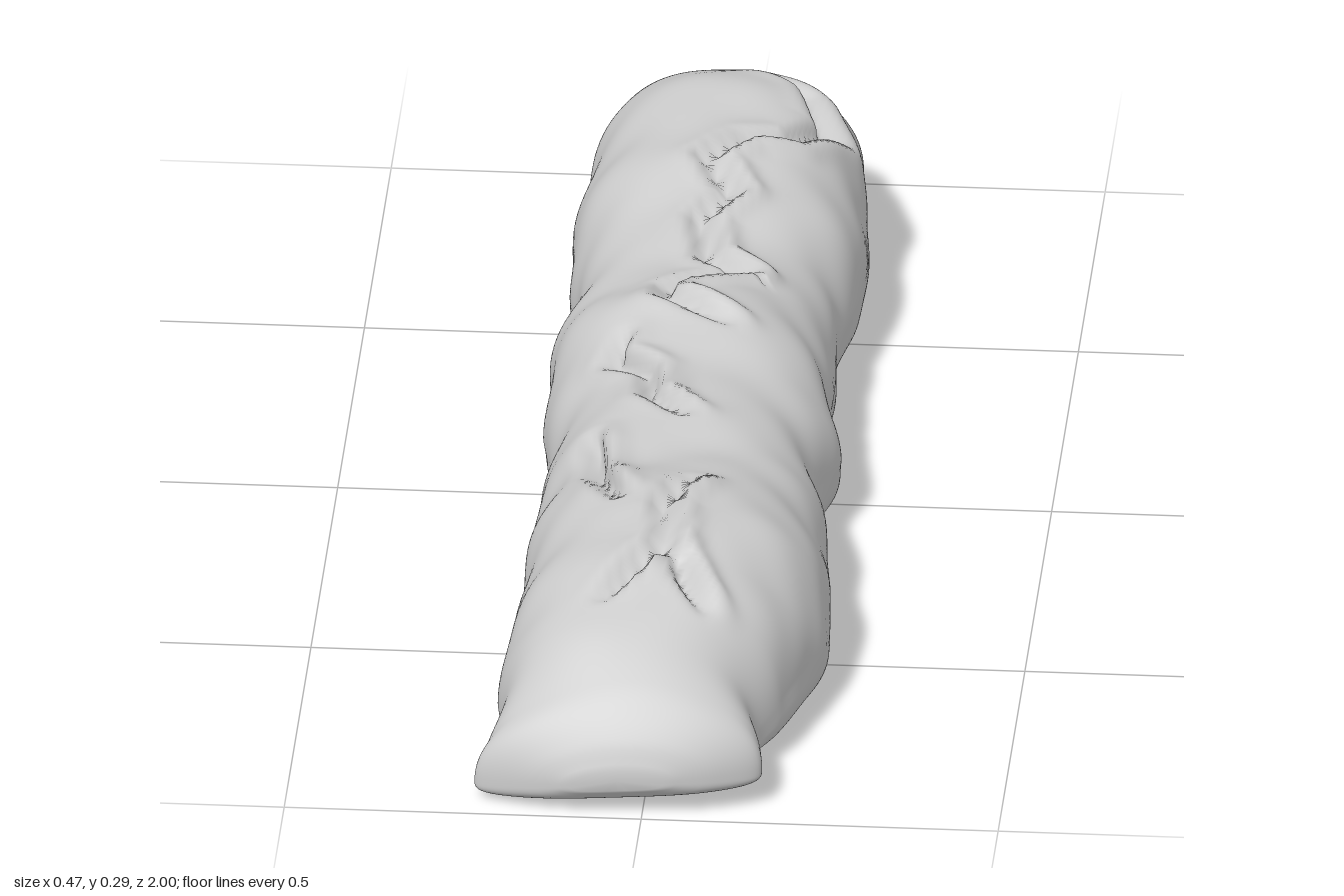
import * as THREE from 'three';

// Cross-sections along the loaf: z, left edge x, right edge x, top y, bottom y, height of widest point
const SECTIONS = [
  [-1, -0.11, 0.03, 0.085, 0.055, 0.07], [-0.98, -0.165, 0.12, 0.118, 0.025, 0.065],
  [-0.93, -0.19, 0.165, 0.18, 0.008, 0.06], [-0.85, -0.195, 0.168, 0.25, 0.008, 0.07],
  [-0.74, -0.2, 0.185, 0.285, 0.015, 0.08], [-0.6, -0.212, 0.2, 0.285, 0.016, 0.09],
  [-0.45, -0.208, 0.198, 0.27, 0.018, 0.09], [-0.33, -0.19, 0.18, 0.248, 0.02, 0.09],
  [-0.2, -0.212, 0.182, 0.25, 0.016, 0.09], [-0.08, -0.21, 0.185, 0.278, 0.012, 0.09],
  [0.05, -0.203, 0.207, 0.25, 0.008, 0.085], [0.17, -0.192, 0.187, 0.258, 0.006, 0.085],
  [0.35, -0.205, 0.212, 0.256, 0.004, 0.08], [0.57, -0.2, 0.232, 0.285, 0.004, 0.075],
  [0.7, -0.21, 0.212, 0.268, 0.008, 0.075], [0.79, -0.213, 0.183, 0.246, 0.012, 0.07],
  [0.86, -0.208, 0.15, 0.22, 0.014, 0.055], [0.925, -0.228, 0.163, 0.178, 0.016, 0.045],
  [0.955, -0.233, 0.158, 0.15, 0.018, 0.042], [0.985, -0.16, 0.095, 0.11, 0.028, 0.05],
  [1, -0.1, 0.03, 0.075, 0.045, 0.055],
];

// Folds in the crust, as (x, z) paths seen from above
const FOLDS = [
  [[0.05, -0.82], [0.1, -0.78], [0.14, -0.68], [0.09, -0.6], [0.03, -0.58], [-0.02, -0.52], [0.02, -0.44],
    [-0.02, -0.38], [0, -0.28], [0.05, -0.23], [-0.05, -0.16], [-0.05, -0.1], [0.04, -0.03]],
  [[-0.1, -0.02], [-0.11, 0.04], [-0.06, 0.09], [-0.05, 0.17], [0, 0.24]],
  [[-0.12, 0.27], [-0.11, 0.4], [-0.07, 0.53]],
  [[0.03, 0.47], [0, 0.57], [0.01, 0.67], [-0.07, 0.79]],
  [[0.01, 0.67], [0.07, 0.8]],
];

const smooth = (a, b, v) => THREE.MathUtils.smoothstep(v, a, b);
const power = (v, p) => Math.sign(v) * Math.abs(v) ** p;

// Smooth cubic interpolation of the section table
function sectionAt(z) {
  const n = SECTIONS.length;
  let i = 0;
  while (i < n - 2 && z > SECTIONS[i + 1][0]) i++;
  const a = SECTIONS[i], b = SECTIONS[i + 1], h = b[0] - a[0], t = (z - a[0]) / h;
  const slope = (k, c) => {
    const p = SECTIONS[Math.max(k - 1, 0)], q = SECTIONS[Math.min(k + 1, n - 1)];
    return (q[c] - p[c]) / (q[0] - p[0]);
  };
  return [1, 2, 3, 4, 5].map((c) =>
    a[c] * (2 * t ** 3 - 3 * t * t + 1) + b[c] * (3 * t * t - 2 * t ** 3)
    + h * (slope(i, c) * (t ** 3 - 2 * t * t + t) + slope(i + 1, c) * (t ** 3 - t * t)));
}

// Groove along each fold with a raised lip on one side
function foldOffset(x, z) {
  let offset = 0;
  for (const path of FOLDS) {
    let best = 1, side = 1;
    for (let i = 0; i < path.length - 1; i++) {
      const [ax, az] = path[i], dx = path[i + 1][0] - ax, dz = path[i + 1][1] - az;
      const t = THREE.MathUtils.clamp(((x - ax) * dx + (z - az) * dz) / (dx * dx + dz * dz), 0, 1);
      const ex = x - ax - t * dx, ez = z - az - t * dz, d = Math.hypot(ex, ez);
      if (d < best) { best = d; side = Math.sign(ex * dz - ez * dx); }
    }
    const fade = smooth(path[0][1] - 0.03, path[0][1] + 0.05, z)
      * (1 - smooth(path.at(-1)[1] - 0.05, path.at(-1)[1] + 0.03, z));
    const groove = -0.02 * Math.exp(-((best / 0.013) ** 2));
    const lip = (side > 0 ? 0.013 : 0.004) * Math.exp(-(((best - 0.028) / 0.018) ** 2));
    offset += fade * (groove + lip);
  }
  return offset;
}

// Soft uneven swelling of the dough
function lumps(x, y, z) {
  return 0.0035 * Math.sin(17 * z + 9 * x + 6 * y) * Math.cos(13 * x - 8 * z)
    + 0.0025 * Math.sin(31 * z - 24 * y + 11 * x)
    + 0.0015 * Math.sin(47 * z + 33 * y) * Math.cos(29 * x + 5);
}

function loafGeometry(rows = 320, around = 128) {
  const pos = [], index = [];
  for (let i = 0; i <= rows; i++) {
    // Rows gather towards the two rounded ends
    const u = (2 * i) / rows - 1;
    const z = 0.6 * u + 0.4 * Math.sin((u * Math.PI) / 2);
    const [left, right, top, bottom, mid] = sectionAt(z);
    const cx = (left + right) / 2, w = (right - left) / 2;
    const body = 1 - smooth(0.72, 0.92, Math.abs(z));
    const pinch = smooth(0.84, 0.95, z);
    for (let j = 0; j < around; j++) {
      const a = (j / around) * Math.PI * 2, c = Math.cos(a), s = Math.sin(a);
      // Domed crust above, nearly flat base below
      let x = cx + w * power(c, s > 0 ? 0.8 + 0.25 * pinch : 0.5);
      let y = mid + (s > 0 ? (top - mid) * power(s, 0.88) : (mid - bottom) * power(s, 0.6));
      const rx = x - cx, ry = y - mid, len = Math.hypot(rx, ry) || 1;
      let d = lumps(x, y, z) * body * (s > 0 ? 1 : 0.5);
      if (s > 0.2) d += foldOffset(x, z) * smooth(0.2, 0.6, s);
      x += (rx / len) * d;
      y += (ry / len) * d + pinch * 0.07 * (x - cx);
      pos.push(x, Math.max(y, 0.002), z);
    }
  }
  for (let i = 0; i < rows; i++) {
    for (let j = 0; j < around; j++) {
      const a = i * around + j, b = i * around + ((j + 1) % around);
      index.push(a, b, a + around, b, b + around, a + around);
    }
  }
  // Close both ends
  for (const end of [0, rows]) {
    const [left, right, top, bottom] = sectionAt(end ? 1 : -1);
    const centre = pos.length / 3;
    pos.push((left + right) / 2, (top + bottom) / 2, end ? 1 : -1);
    for (let j = 0; j < around; j++) {
      const a = end * around + j, b = end * around + ((j + 1) % around);
      if (end) index.push(centre, a, b);
      else index.push(centre, b, a);
    }
  }
  const geometry = new THREE.BufferGeometry();
  geometry.setAttribute('position', new THREE.Float32BufferAttribute(pos, 3));
  geometry.setIndex(index);
  geometry.computeVertexNormals();
  return geometry;
}

export function createModel() {
  const model = new THREE.Group();
  model.name = 'breadLoaf';
  const loaf = new THREE.Mesh(loafGeometry(), new THREE.MeshStandardMaterial({ color: 0xcccccc, roughness: 0.8 }));
  loaf.name = 'crust';
  model.add(loaf);
  return model;
}
